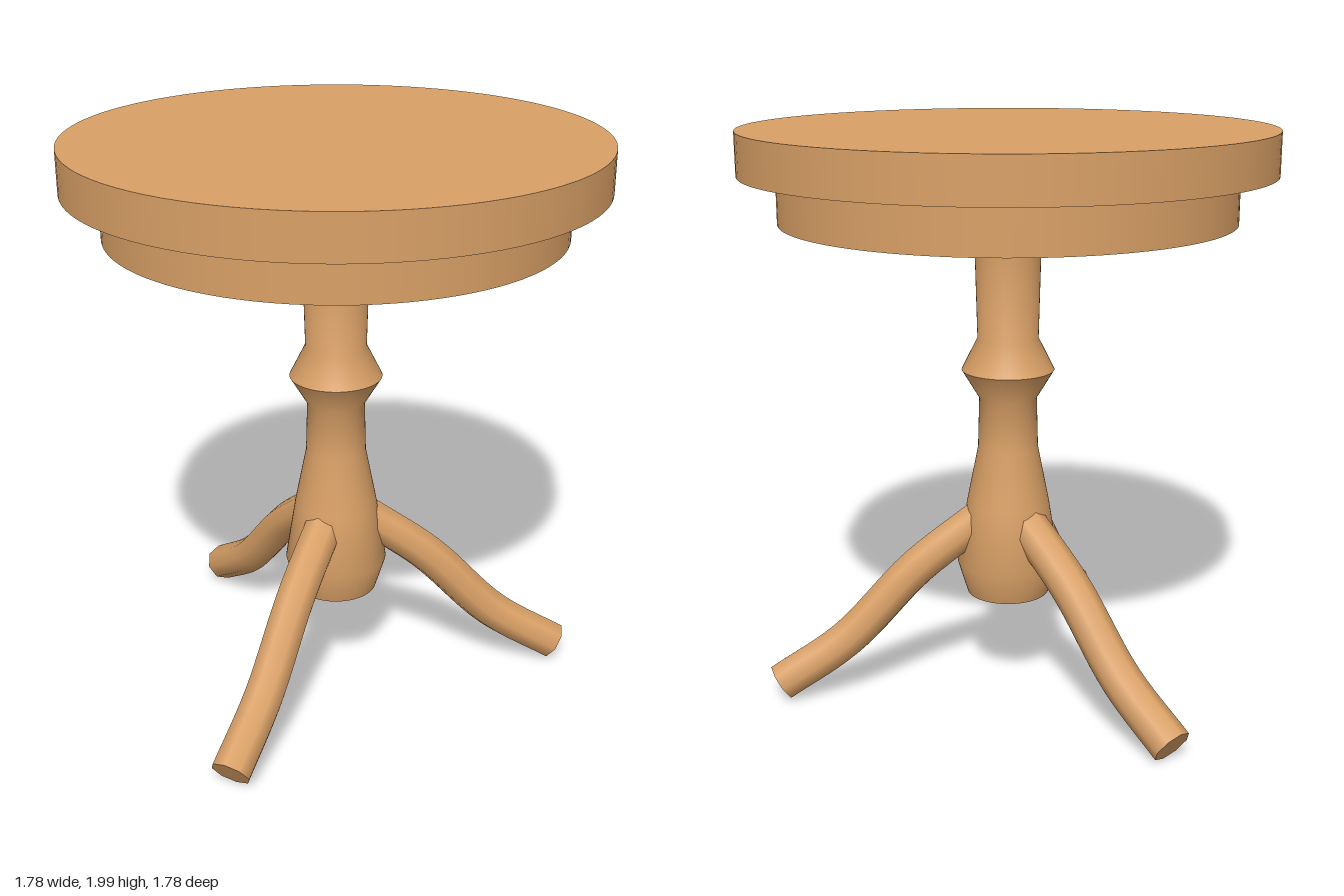
import * as THREE from 'three';
import { toCreasedNormals } from 'three/addons/utils/BufferGeometryUtils.js';

const LEG_RADIUS = 0.07;
const LEG_SIDES = 8;

export function createModel() {
  const wood = new THREE.MeshStandardMaterial({ color: 0xd9a066 });
  wood.name = 'wood';
  const model = new THREE.Group();
  model.name = 'pedestalTable';

  const add = (parent, name, geometry) => {
    const mesh = new THREE.Mesh(geometry, wood);
    mesh.name = name;
    parent.add(mesh);
    return mesh;
  };

  // Round top with a narrower apron disc below it
  const disc = (name, radius, bottom, top) => {
    const geometry = new THREE.CylinderGeometry(radius, radius, top - bottom, 96);
    add(model, name, geometry).position.y = (top + bottom) / 2;
  };
  disc('tableTop', 0.89, 1.855, 2);
  disc('apron', 0.765, 1.695, 1.855);

  // Turned column
  const profile = [
    [0, 0.365], [0.145, 0.365], [0.18, 0.48], [0.145, 0.7], [0.105, 0.9], [0.1, 1.08],
    [0.16, 1.18], [0.105, 1.29], [0.113, 1.605], [0.18, 1.675], [0.18, 1.7],
  ].map(([r, y]) => new THREE.Vector2(r, y));
  add(model, 'column', toCreasedNormals(new THREE.LatheGeometry(profile, 48), 0.65));

  // Curved legs: swept in one plane, then turned around the column
  const path = new THREE.CatmullRomCurve3(
    [[0.1, 0.64], [0.33, 0.47], [0.58, 0.22], [0.817, 0.07]].map(([x, y]) => new THREE.Vector3(x, y, 0)),
  );
  const tube = new THREE.TubeGeometry(path, 20, LEG_RADIUS, LEG_SIDES, false);
  const cap = new THREE.CircleGeometry(LEG_RADIUS, LEG_SIDES);

  [['leftLeg', -30], ['rightLeg', -150], ['backLeg', 90]].forEach(([name, degrees]) => {
    const leg = new THREE.Group();
    leg.name = name;
    add(leg, 'legShaft', tube);
    [['upperEnd', 0, -1], ['foot', 1, 1]].forEach(([endName, t, sign]) => {
      const end = add(leg, endName, cap);
      end.position.copy(path.getPointAt(t));
      end.lookAt(end.position.clone().addScaledVector(path.getTangentAt(t), sign));
    });
    leg.rotation.y = THREE.MathUtils.degToRad(degrees);
    model.add(leg);
  });

  return model;
}
